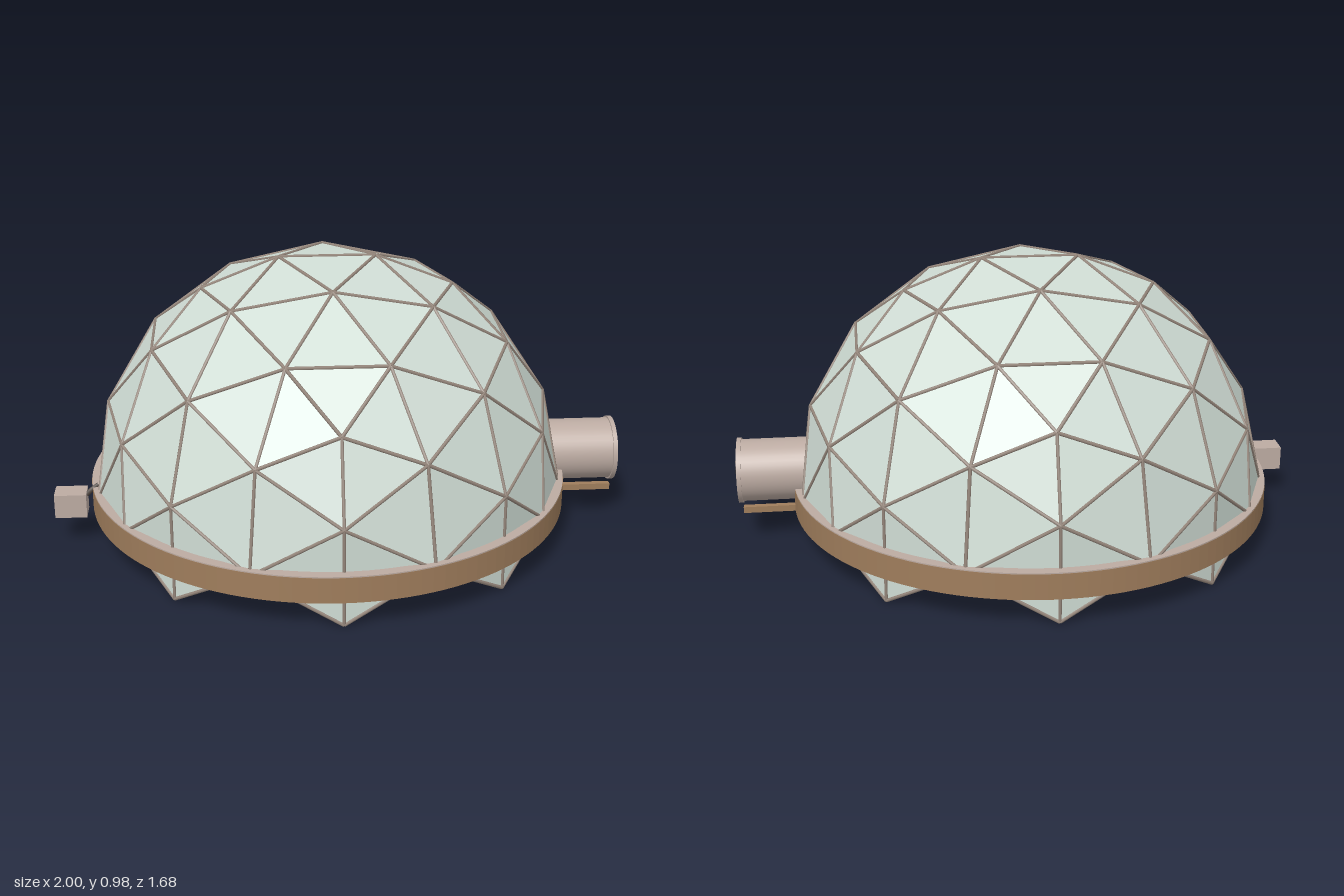
import * as THREE from 'three';

const mat = (name, color, extra = {}) => {
  const m = new THREE.MeshStandardMaterial({ color, ...extra });
  m.name = name;
  return m;
};

export function createModel() {
  const glass = mat('paleGlass', 0xd0ddd5, { flatShading: true, side: THREE.DoubleSide });
  const strutMat = mat('strutMetal', 0x95867b);
  const wood = mat('brownWood', 0x9f7d5c);
  const metal = mat('greyMetal', 0xbcaba2);
  const soil = mat('darkSoil', 0x2b251b);
  const dark = mat('darkTrim', 0x4f4640);

  const model = new THREE.Group();
  model.name = 'geodesicGreenhouse';
  const CX = -0.04, CY = 0.172, R = 0.823;

  const add = (name, geometry, material, x = 0, y = 0, z = 0, parent = model) => {
    const mesh = new THREE.Mesh(geometry, material);
    mesh.name = name;
    mesh.position.set(x, y, z);
    parent.add(mesh);
    return mesh;
  };
  const rod = (name, a, b, radius, material, parent) => {
    const dir = b.clone().sub(a);
    const mid = a.clone().add(b).multiplyScalar(0.5);
    const mesh = add(name, new THREE.CylinderGeometry(radius, radius, dir.length(), 6), material, mid.x, mid.y, mid.z, parent);
    mesh.quaternion.setFromUnitVectors(new THREE.Vector3(0, 1, 0), dir.normalize());
  };

  // Dome panels: keep the upper triangles and the six tips hanging below the ring
  const dome = new THREE.Group();
  dome.name = 'dome';
  dome.position.set(CX, CY, 0);
  model.add(dome);
  const src = new THREE.IcosahedronGeometry(R, 2).getAttribute('position');
  const kept = [], edges = new Map();
  const key = (v) => v.toArray().map((n) => Math.round(n * 1000) + 0).join(',');
  for (let i = 0; i < src.count; i += 3) {
    const tri = [0, 1, 2].map((k) => new THREE.Vector3().fromBufferAttribute(src, i + k));
    if (tri.some((v) => v.y < -0.25 * R)) continue;
    tri.forEach((v, k) => {
      kept.push(v.x, v.y, v.z);
      const w = tri[(k + 1) % 3];
      edges.set([key(v), key(w)].sort().join('|'), [v, w]);
    });
  }
  const panels = new THREE.BufferGeometry();
  panels.setAttribute('position', new THREE.Float32BufferAttribute(kept, 3));
  panels.computeVertexNormals();
  add('domePanels', panels, glass, 0, 0, 0, dome);

  // One strut along every panel edge
  for (const [a, b] of edges.values()) rod('strut', a, b, 0.006, strutMat, dome);

  // Base ring with a flat metal lip, and the floor closing its underside
  const band = (inner, outer, height) => {
    const shape = new THREE.Shape().absarc(0, 0, outer, 0, Math.PI * 2);
    shape.holes.push(new THREE.Path().absarc(0, 0, inner, 0, Math.PI * 2, true));
    return new THREE.ExtrudeGeometry(shape, { depth: height, bevelEnabled: false, curveSegments: 64 }).rotateX(-Math.PI / 2);
  };
  add('baseRing', band(0.825, 0.84, 0.088), wood, CX, 0.104, 0);
  add('ringLip', band(0.805, 0.839, 0.004), metal, CX, 0.192, 0);
  add('floor', new THREE.CylinderGeometry(0.834, 0.834, 0.01, 96), soil, CX, 0.108, 0);

  // Entrance tunnel on the left side, axis along x
  const tunnel = new THREE.Group();
  tunnel.name = 'tunnel';
  tunnel.position.set(0, 0.234, 0);
  model.add(tunnel);
  const disc = (name, r, x0, x1, material) =>
    add(name, new THREE.CylinderGeometry(r, r, x1 - x0, 40).rotateZ(-Math.PI / 2), material, (x0 + x1) / 2, 0, 0, tunnel);
  disc('tunnelBody', 0.109, 0.68, 0.985, metal);
  disc('tunnelFlange', 0.115, 0.976, 0.991, metal);
  const hoop = (name, r, tube, x, y, material) =>
    add(name, new THREE.TorusGeometry(r, tube, 8, 40).rotateY(Math.PI / 2), material, x, y, 0, tunnel);
  disc('hatch', 0.07, 0.985, 0.994, metal);
  hoop('hatchSeal', 0.07, 0.003, 0.992, 0, strutMat);
  hoop('hatchWheel', 0.031, 0.003, 0.996, -0.008, dark);
  add('hatchLatch', new THREE.BoxGeometry(0.012, 0.016, 0.02), dark, 0.994, 0.028, 0, tunnel);

  // Wooden rails under the tunnel
  for (const s of [-1, 1]) add('tunnelRail', new THREE.BoxGeometry(0.27, 0.022, 0.022), wood, 0.84, 0.116, s * 0.072);

  // Utility box on the right side with its pipe
  add('utilityBox', new THREE.BoxGeometry(0.11, 0.085, 0.08), metal, -0.945, 0.145, 0.137);
  const pipe = new THREE.CatmullRomCurve3([
    new THREE.Vector3(-0.892, 0.17, 0.135),
    new THREE.Vector3(-0.875, 0.185, 0.13),
    new THREE.Vector3(-0.85, 0.2, 0.12),
  ]);
  add('utilityPipe', new THREE.TubeGeometry(pipe, 8, 0.009, 8), dark);

  return model;
}
